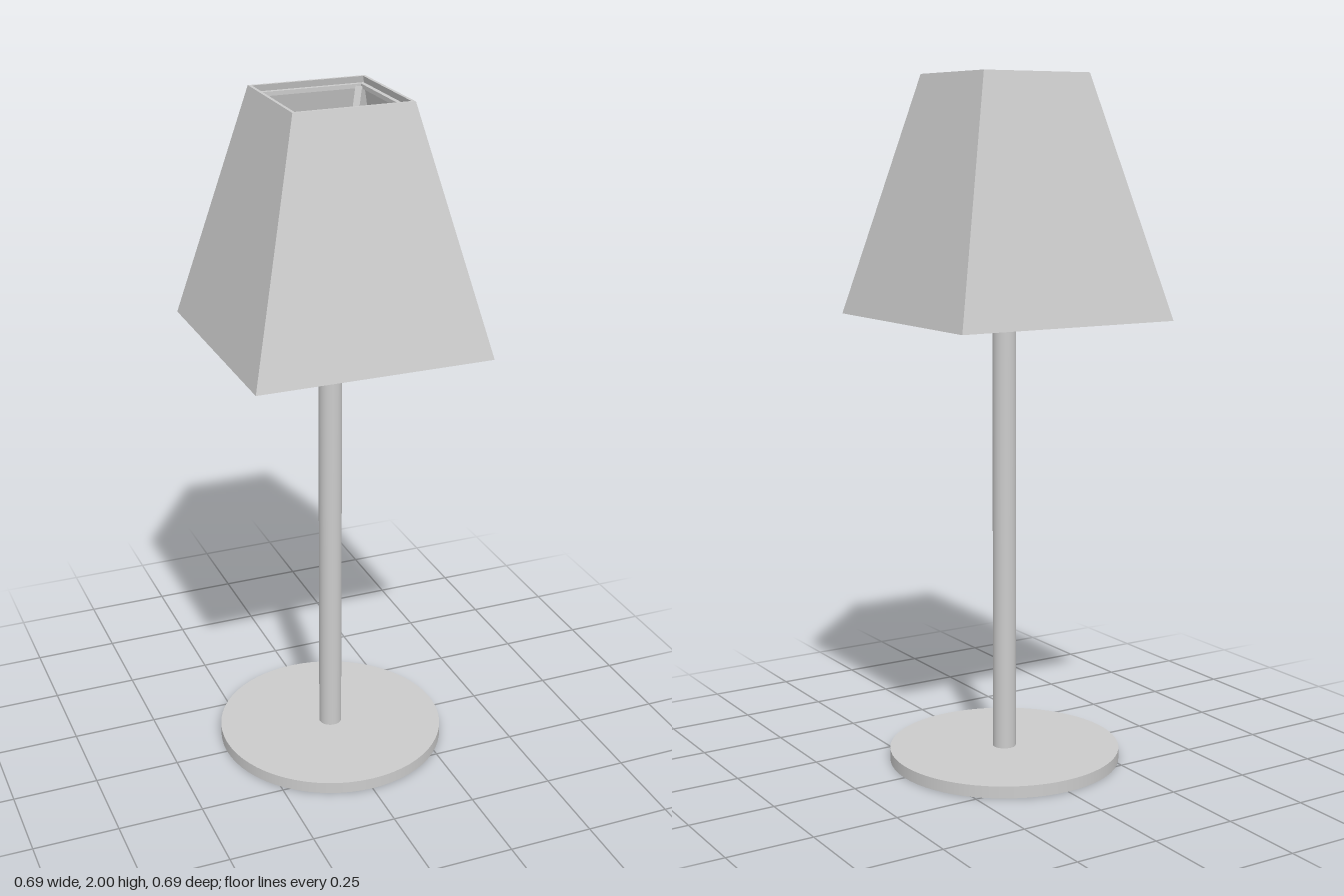
import * as THREE from 'three';

export function createModel() {
  const model = new THREE.Group();
  const smooth = new THREE.MeshStandardMaterial({ color: 0xcccccc });
  const flat = new THREE.MeshStandardMaterial({ color: 0xcccccc, flatShading: true });

  function add(name, geometry, y = 0, material = smooth, parent = model) {
    const mesh = new THREE.Mesh(geometry, material);
    mesh.name = name;
    mesh.position.y = y;
    parent.add(mesh);
    return mesh;
  }

  // Square tapering tube: profile pairs are [half side, height]
  function squareLathe(profile) {
    const points = profile.map(([half, y]) => new THREE.Vector2(half * Math.SQRT2, y));
    const geometry = new THREE.LatheGeometry(points, 4, Math.PI / 4).toNonIndexed();
    geometry.computeVertexNormals();
    return geometry;
  }

  // Base and pole
  add('base', new THREE.CylinderGeometry(0.34, 0.34, 0.035, 64), 0.0175);
  add('pole', new THREE.CylinderGeometry(0.034, 0.034, 1.38, 32), 0.725);

  // Socket collar, flared neck and bulb
  add('socket', new THREE.CylinderGeometry(0.042, 0.042, 0.1, 32), 1.445);
  add('bulbNeck', new THREE.CylinderGeometry(0.062, 0.036, 0.09, 32), 1.54);
  add('bulb', new THREE.SphereGeometry(0.076, 40, 28), 1.62);

  // Thin-walled shade, open at both ends
  add('shade', squareLathe([
    [0.344, 1.315], [0.172, 2], [0.163, 2], [0.335, 1.315], [0.344, 1.315],
  ]), 0, flat);

  // Square frame just inside the top of the shade
  add('shadeFrame', squareLathe([
    [0.168, 1.97], [0.165, 1.982], [0.152, 1.982], [0.152, 1.97], [0.168, 1.97],
  ]), 0, flat);

  // Four diagonal struts from the socket to the frame corners
  const inner = new THREE.Vector2(0.03, 1.47);
  const outer = new THREE.Vector2(0.206, 1.976);
  const run = outer.clone().sub(inner);
  for (let i = 0; i < 4; i++) {
    const arm = new THREE.Group();
    arm.name = 'strut' + (i + 1);
    arm.rotation.y = Math.PI / 4 + i * Math.PI / 2;
    const bar = add('strutBar', new THREE.BoxGeometry(0.014, run.length(), 0.02), 0, flat, arm);
    bar.position.set((inner.x + outer.x) / 2, (inner.y + outer.y) / 2, 0);
    bar.rotation.z = -Math.atan2(run.x, run.y);
    model.add(arm);
  }

  return model;
}
